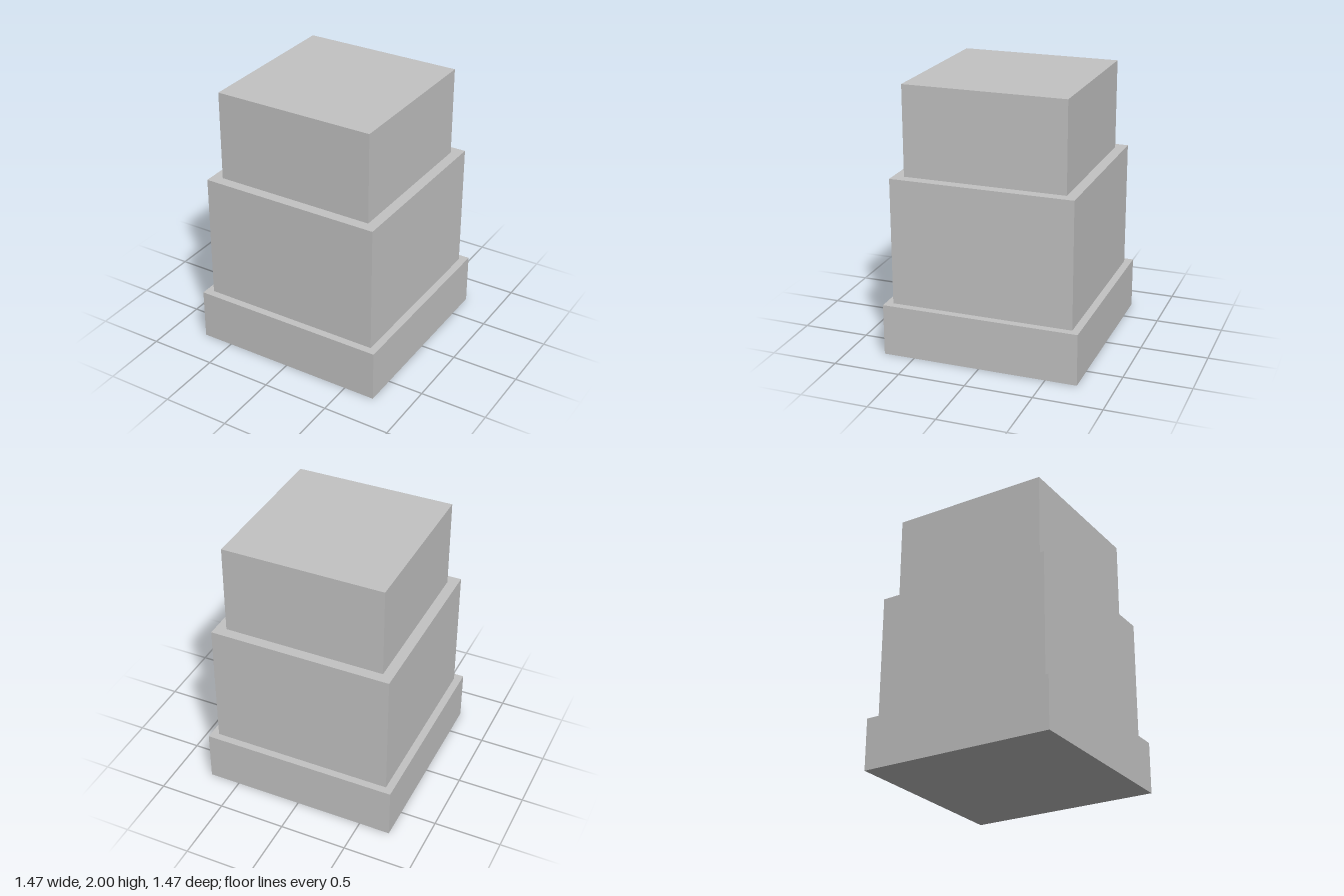
import * as THREE from 'three';

export function createModel() {
  const group = new THREE.Group();
  const grey = new THREE.MeshStandardMaterial({ color: 0xc3c3c3 });
  grey.name = 'lightGrey';

  // Square tiers stacked from the ground up: name, width, bottom, top
  const tiers = [
    ['baseTier', 1.466, 0, 0.386],
    ['middleTier', 1.354, 0.386, 1.333],
    ['topTier', 1.198, 1.333, 2],
  ];
  for (const [name, width, bottom, top] of tiers) {
    const tier = new THREE.Mesh(new THREE.BoxGeometry(width, top - bottom, width), grey);
    tier.name = name;
    tier.position.y = (bottom + top) / 2;
    group.add(tier);
  }
  return group;
}
